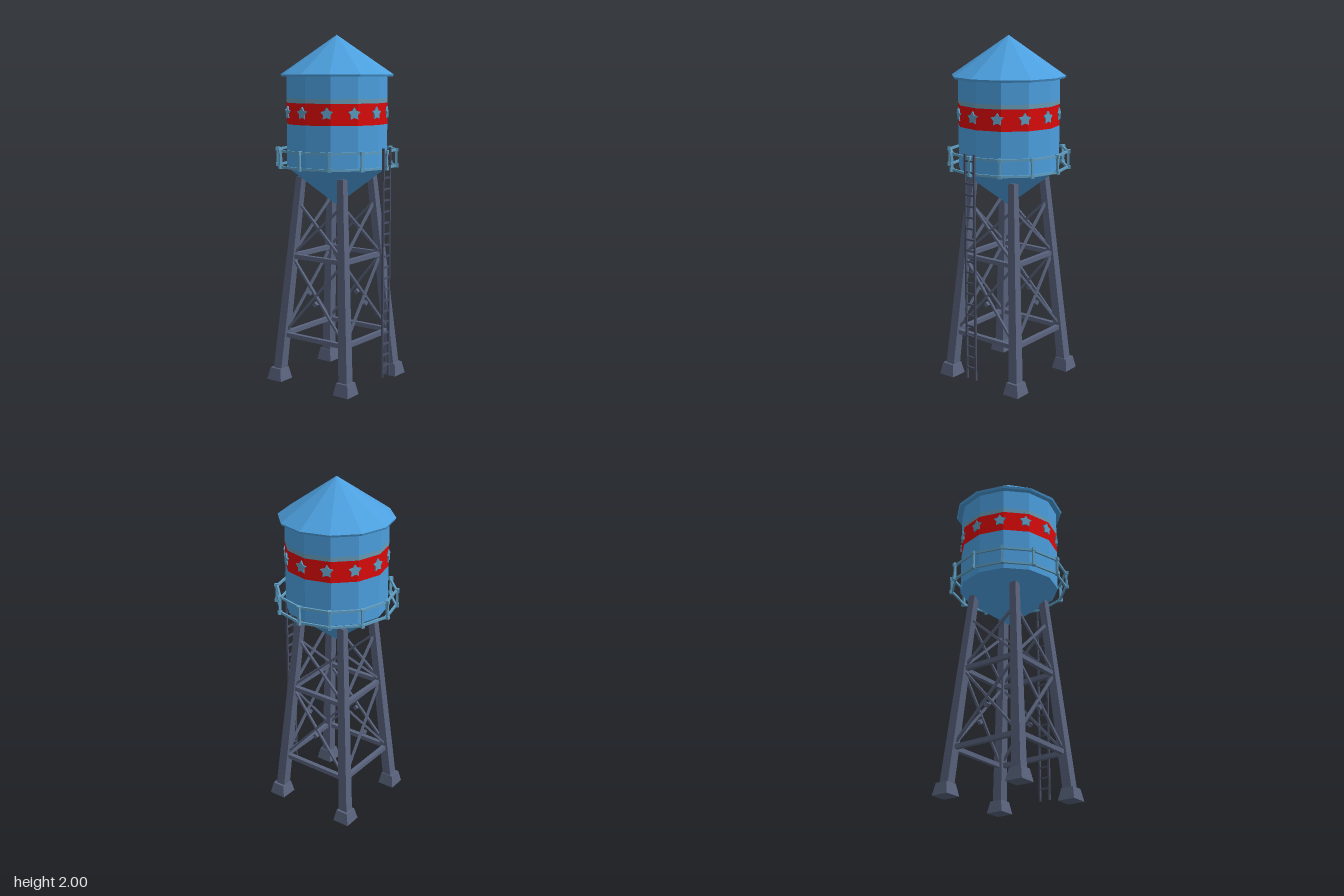
import * as THREE from 'three';

const flat = (name, color) => new THREE.MeshStandardMaterial({ name, color, flatShading: true });

export function createModel() {
  const blue = flat('tank blue', 0x4c9fde);
  const pale = flat('faded blue', 0x5f9fc4);
  const grey = flat('weathered blue', 0x679bb5);
  const red = flat('band red', 0xda0909);
  const steel = flat('slate steel', 0x59637d);
  const dark = flat('dark steel', 0x474e63);

  const model = new THREE.Group();
  model.name = 'waterTower';
  const SIDES = 12;

  const add = (parent, name, geometry, material) => {
    const mesh = new THREE.Mesh(geometry, material);
    mesh.name = name;
    parent.add(mesh);
    return mesh;
  };
  const group = (name, parent = model) => {
    const g = new THREE.Group();
    g.name = name;
    parent.add(g);
    return g;
  };
  // Box beam between two points, aimed before it joins its parent
  const beam = (parent, name, a, b, w, h, material) => {
    const from = new THREE.Vector3(...a), to = new THREE.Vector3(...b);
    const mesh = new THREE.Mesh(new THREE.BoxGeometry(w, h, from.distanceTo(to)), material);
    mesh.name = name;
    mesh.position.copy(from).lerp(to, 0.5);
    mesh.lookAt(to);
    parent.add(mesh);
  };
  // Square frustum given by its side lengths, from y0 to y1
  const frustum = (bottom, top, y0, y1) =>
    new THREE.CylinderGeometry(top * Math.SQRT1_2, bottom * Math.SQRT1_2, y1 - y0, 4)
      .rotateY(Math.PI / 4).translate(0, (y0 + y1) / 2, 0);
  // Point on a ring, angle counted from the front in twelfths
  const ring = (r, y, i) => {
    const a = (i / SIDES) * Math.PI * 2;
    return [Math.sin(a) * r, y, Math.cos(a) * r];
  };

  // Tank: stacked wall courses, conical floor and roof
  const tank = group('tank');
  const course = (name, r, y0, y1, material) =>
    add(tank, name, new THREE.CylinderGeometry(r, r, y1 - y0, SIDES, 1, true), material)
      .position.y = (y0 + y1) / 2;
  course('lowerWall', 0.29, 1.25, 1.5, blue);
  course('redBand', 0.29, 1.5, 1.62, red);
  course('fadedStripe', 0.29, 1.62, 1.645, grey);
  course('upperWall', 0.29, 1.645, 1.775, blue);
  add(tank, 'conicalFloor', new THREE.CylinderGeometry(0.29, 0.001, 0.22, SIDES, 1, true), blue).position.y = 1.14;
  add(tank, 'roofRim', new THREE.CylinderGeometry(0.325, 0.32, 0.012, SIDES), blue).position.y = 1.772;
  add(tank, 'roof', new THREE.ConeGeometry(0.325, 0.222, SIDES), blue).position.y = 1.889;

  // Stars around the red band
  const starShape = new THREE.Shape();
  for (let i = 0; i < 10; i++) {
    const r = i % 2 ? 0.021 : 0.037, a = (i / 10) * Math.PI * 2;
    starShape[i ? 'lineTo' : 'moveTo'](Math.sin(a) * r, Math.cos(a) * r);
  }
  starShape.closePath();
  const starGeometry = new THREE.ExtrudeGeometry(starShape, { depth: 0.009, bevelEnabled: false });
  const stars = group('stars', tank);
  for (let i = 0; i < SIDES; i++) {
    const pos = ring(0.286, 1.565, i - 0.14);
    const star = add(stars, 'star', starGeometry, pale);
    star.position.set(...pos);
    star.rotation.y = Math.atan2(pos[0], pos[2]);
  }

  // Railing: two rings, posts and corner blocks
  const railing = group('railing');
  for (let i = 0; i < SIDES; i++) {
    const turn = (i / SIDES) * Math.PI * 2;
    for (const y of [1.262, 1.352]) {
      beam(railing, 'rail', ring(0.338, y, i), ring(0.338, y, i + 1), 0.011, 0.013, pale);
      const block = add(railing, 'railBlock', new THREE.BoxGeometry(0.018, 0.021, 0.024), pale);
      block.position.set(...ring(0.343, y, i));
      block.rotation.y = turn;
    }
    const post = add(railing, 'post', new THREE.BoxGeometry(0.012, 0.09, 0.014), pale);
    post.position.set(...ring(0.343, 1.307, i));
    post.rotation.y = turn;
  }

  // Legs lean inwards; legX gives the leg's centre at a height
  const legX = y => 0.242 - 0.08 * y;
  const legs = group('legs');
  for (const sx of [-1, 1]) for (const sz of [-1, 1]) {
    const geometry = frustum(0.058, 0.042, 0.03, 1.2);
    const p = geometry.attributes.position;
    for (let i = 0; i < p.count; i++) {
      const c = legX(p.getY(i));
      p.setX(i, p.getX(i) + sx * c);
      p.setZ(i, p.getZ(i) + sz * c);
    }
    add(legs, 'leg', geometry, steel);
    add(legs, 'foot', frustum(0.104, 0.076, 0, 0.07), steel).position.set(sx * 0.241, 0, sz * 0.241);
  }

  // Bracing repeated on each of the four sides
  for (let side = 0; side < 4; side++) {
    const bracing = group('bracing');
    bracing.rotation.y = side * Math.PI / 2;
    for (const y of [0.27, 0.735]) {
      const x = legX(y);
      beam(bracing, 'crossbeam', [-x, y, x], [x, y, x], 0.026, 0.026, steel);
    }
    for (const [y0, y1] of [[0.275, 0.73], [0.745, 1.05]]) for (const s of [-1, 1]) {
      const a = legX(y0), b = legX(y1);
      beam(bracing, 'diagonalBrace', [-s * a, y0, a], [s * b, y1, b], 0.013, 0.013, steel);
    }
    const gusset = add(bracing, 'gusset', new THREE.BoxGeometry(0.024, 0.024, 0.02), steel);
    gusset.position.set(0, 0.475, legX(0.475));
    gusset.rotation.z = Math.PI / 4;
  }

  // Ladder up the front
  const ladder = group('ladder');
  for (const s of [-1, 1])
    beam(ladder, 'ladderRail', [s * 0.032, 0.06, 0.345], [s * 0.032, 1.375, 0.345], 0.01, 0.012, dark);
  for (let i = 0; i < 20; i++) {
    const y = 0.13 + i * 0.0635;
    beam(ladder, 'rung', [-0.032, y, 0.345], [0.032, y, 0.345], 0.009, 0.01, dark);
  }

  return model;
}
